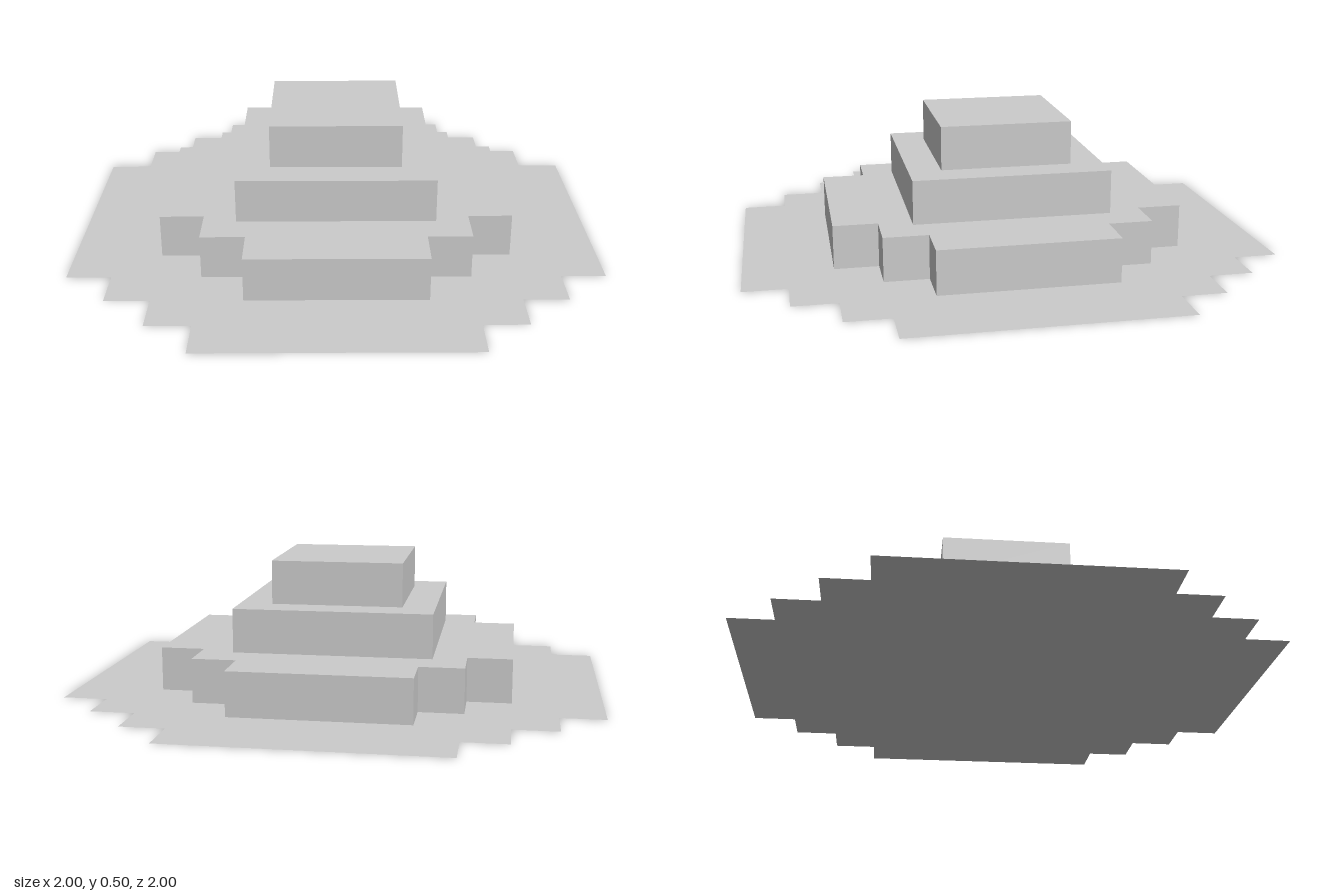
import * as THREE from 'three';

const U = 1 / 6; // one stair step

// Closed outline mirrored into four quadrants from its outer corners [x, z]
function steppedShape(corners) {
  const quarter = [];
  corners.forEach(([x, z], i) => {
    if (i > 0) quarter.push([x, corners[i - 1][1]]);
    quarter.push([x, z]);
  });
  const back = [...quarter].reverse();
  const points = [
    ...quarter,
    ...back.map(([x, z]) => [-x, z]),
    ...quarter.map(([x, z]) => [-x, -z]),
    ...back.map(([x, z]) => [x, -z]),
  ];
  return new THREE.Shape(points.map(([x, z]) => new THREE.Vector2(x * U, z * U)));
}

export function createModel() {
  const group = new THREE.Group();
  group.name = 'steppedMound';
  const solid = new THREE.MeshStandardMaterial({ color: 0xcccccc, flatShading: true });
  const sheet = new THREE.MeshStandardMaterial({ color: 0xcccccc, side: THREE.DoubleSide });

  const add = (name, geometry, material, y) => {
    const mesh = new THREE.Mesh(geometry, material);
    mesh.name = name;
    mesh.position.y = y;
    group.add(mesh);
  };

  // Flat ground sheet with stepped corners
  const ground = new THREE.ShapeGeometry(steppedShape([[6, 3], [5, 4], [4, 5], [3, 6]]));
  add('groundSheet', ground.rotateX(-Math.PI / 2), sheet, 0);

  // Lower tier with stepped corners
  const lower = new THREE.ExtrudeGeometry(steppedShape([[4, 2], [3, 3], [2, 4]]), {
    depth: U, bevelEnabled: false,
  });
  add('lowerTier', lower.rotateX(-Math.PI / 2), solid, 0);

  // Square upper tiers
  add('middleTier', new THREE.BoxGeometry(0.75, U, 0.75), solid, 1.5 * U);
  add('topTier', new THREE.BoxGeometry(0.5, U, 0.5), solid, 2.5 * U);

  return group;
}
